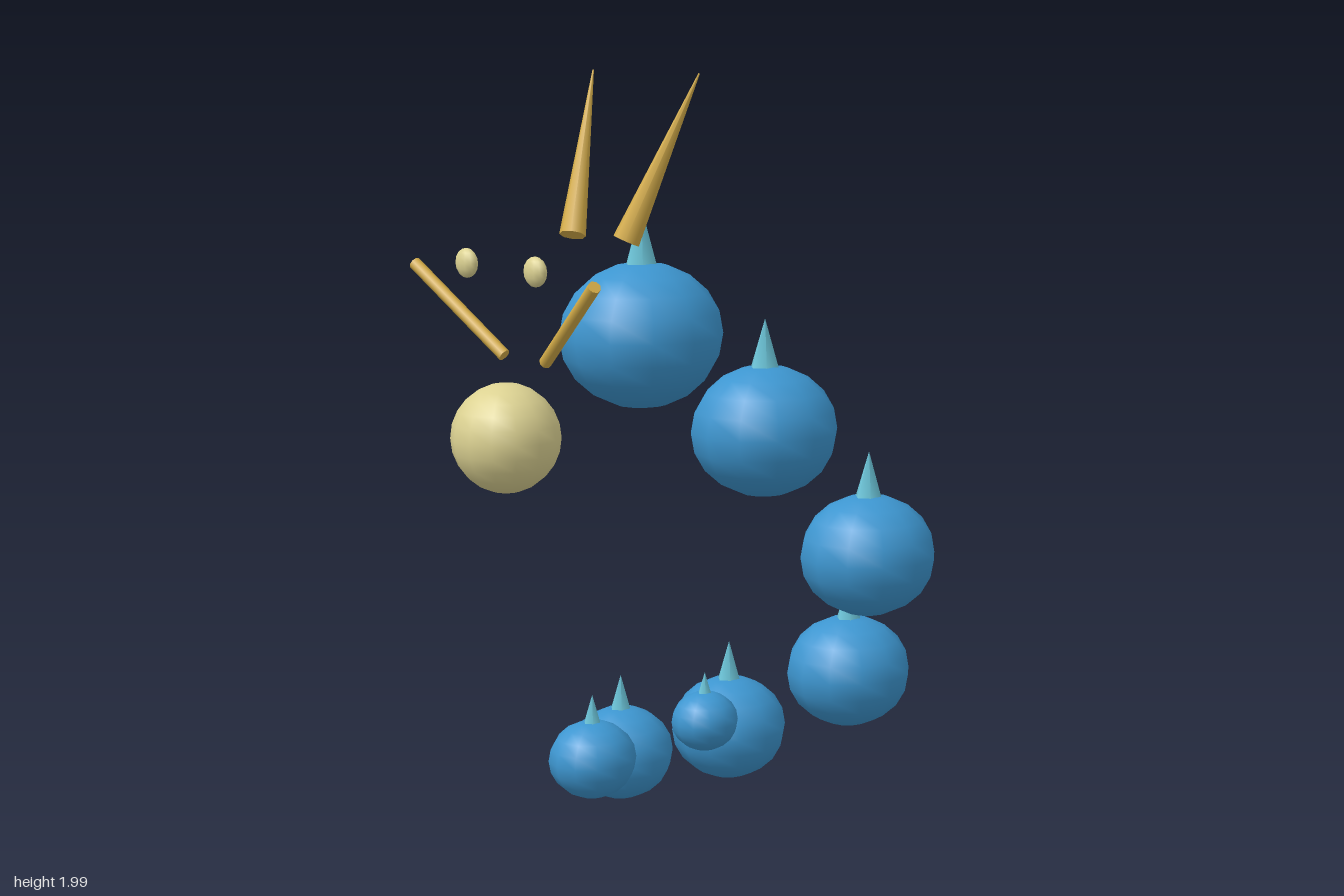
import * as THREE from 'three';

const mat = (name, color) => {
  const m = new THREE.MeshStandardMaterial({ color });
  m.name = name;
  return m;
};

export function createModel() {
  const blue = mat('bodyBlue', 0x3d96d0);
  const aqua = mat('spikeAqua', 0x6cc6da);
  const cream = mat('cream', 0xdcd292);
  const gold = mat('gold', 0xd4ac48);

  const model = new THREE.Group();
  model.name = 'serpent';

  const add = (name, geometry, material, parent = model) => {
    const mesh = new THREE.Mesh(geometry, material);
    mesh.name = name;
    parent.add(mesh);
    return mesh;
  };

  // Tapered rod from a to b, with a radius at each end
  const rod = (name, a, b, ra, rb, material) => {
    const from = new THREE.Vector3(...a), to = new THREE.Vector3(...b);
    const dir = to.clone().sub(from);
    const mesh = add(name, new THREE.CylinderGeometry(rb, ra, dir.length(), 8), material);
    mesh.position.copy(from).lerp(to, 0.5);
    mesh.quaternion.setFromUnitVectors(new THREE.Vector3(0, 1, 0), dir.normalize());
    return mesh;
  };

  // Head and body balls from head to tail: x, y, z, radius, spike tip height
  const segments = [
    [0, 1.34, 0.135, 0.204, 1.664],
    [0.152, 1.082, -0.15, 0.187, 1.373],
    [0.274, 0.737, -0.41, 0.176, 1.013],
    [0.083, 0.363, -0.531, 0.166, 0.63],
    [-0.243, 0.158, -0.383, 0.157, 0.405],
    [-0.313, 0.134, -0.047, 0.14, 0.352],
    [-0.088, 0.222, 0.233, 0.112, 0.395],
    [0.276, 0.393, 0.162, 0.082, 0.518],
  ];
  segments.forEach(([x, y, z, r, tip], i) => {
    const segment = new THREE.Group();
    segment.name = i ? `bodySegment${i}` : 'head';
    segment.position.set(x, y, z);
    model.add(segment);

    const ball = add('ball', new THREE.SphereGeometry(r, 12, 10), blue, segment);
    ball.scale.set(1, 0.915, 1.055);

    // Back spike, slightly sunk into the ball and longer than wide
    const base = r * 0.915 - r * 0.06;
    const height = tip - y - base;
    const spike = add('backSpike', new THREE.ConeGeometry(r * 0.23, height, 6), aqua, segment);
    spike.scale.x = 0.84;
    spike.position.y = base + height / 2;
  });

  // Snout ball in front of the head
  add('snout', new THREE.SphereGeometry(0.136, 14, 12), cream).position.set(0, 1.124, 0.567);

  // Paired eyes, whiskers and horns
  for (const [side, s] of [['left', 1], ['right', -1]]) {
    const eye = add(`${side}Eye`, new THREE.SphereGeometry(0.037, 12, 8), cream);
    eye.scale.z = 0.6;
    eye.position.set(s * 0.138, 1.542, 0.577);

    rod(`${side}Whisker`, [s * 0.083, 1.313, 0.507], [s * 0.362, 1.525, 0.577], 0.016, 0.016, gold);
    rod(`${side}Horn`, [s * 0.106, 1.594, 0.272], [s * 0.206, 2, 0.122], 0.034, 0.002, gold);
  }

  return model;
}
